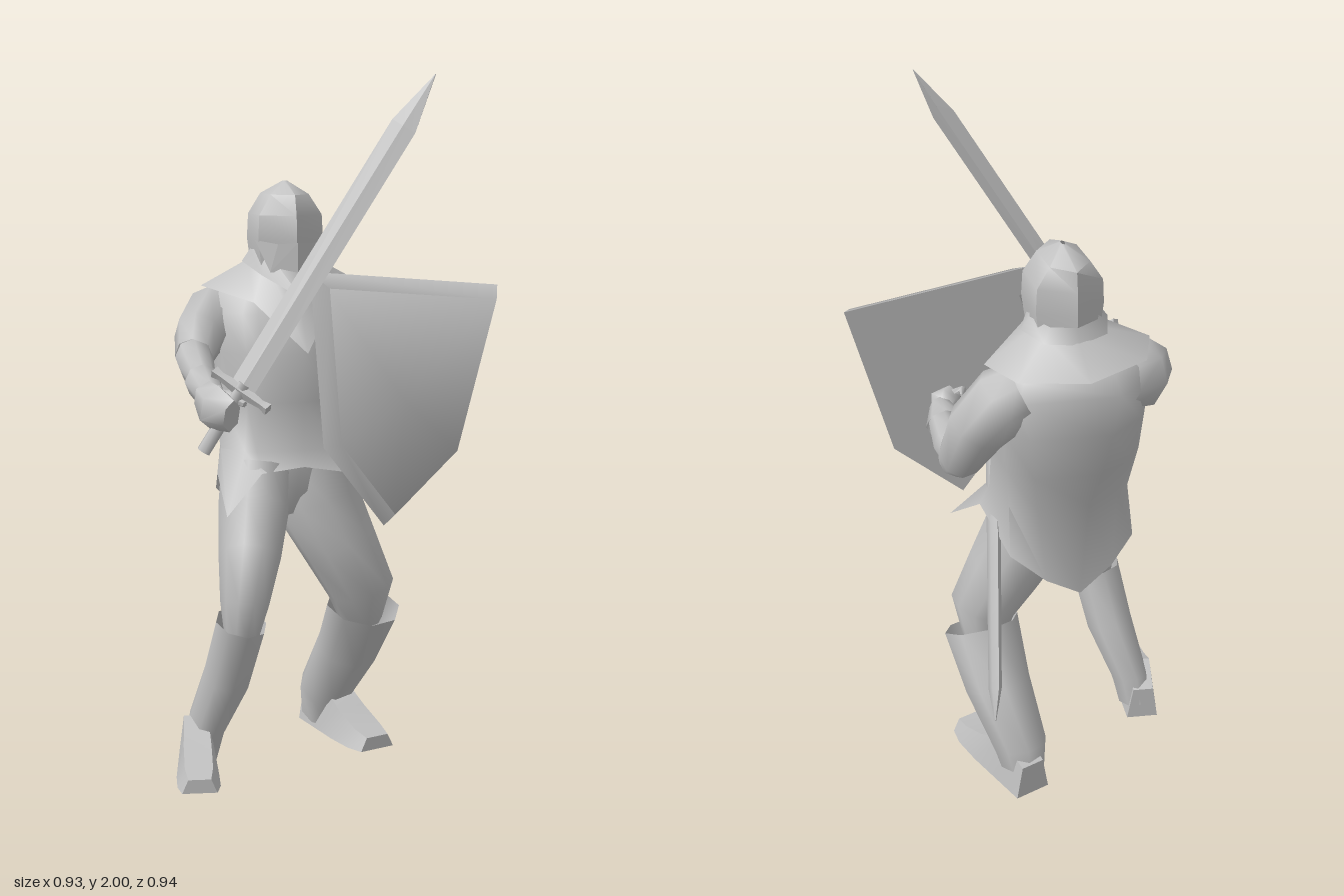
import * as THREE from 'three';
import { toCreasedNormals } from 'three/addons/utils/BufferGeometryUtils.js';

const V = (x, y, z) => new THREE.Vector3(x, y, z);
const FRONT = V(0, 0, 1), UP = V(0, 1, 0);

const grey = new THREE.MeshStandardMaterial({ color: 0xc0c0c0, side: THREE.DoubleSide });
grey.name = 'plain grey';

// Skins rows of points (each row counter-clockwise about the row direction).
function skin(rows, caps = true, crease = 1.2) {
  const n = rows[0].length, pos = [];
  const tri = (...ps) => ps.forEach((p) => pos.push(p.x, p.y, p.z));
  for (let r = 0; r + 1 < rows.length; r++) {
    for (let i = 0; i < n; i++) {
      const j = (i + 1) % n, a = rows[r], b = rows[r + 1];
      tri(a[i], a[j], b[i]);
      tri(a[j], b[j], b[i]);
    }
  }
  if (caps) {
    const cap = (row, flip) => {
      const c = V(0, 0, 0);
      row.forEach((p) => c.addScaledVector(p, 1 / n));
      row.forEach((p, i) => {
        const q = row[(i + 1) % n];
        if (flip) tri(c, q, p); else tri(c, p, q);
      });
    };
    cap(rows[0], true);
    cap(rows[rows.length - 1], false);
  }
  const g = new THREE.BufferGeometry();
  g.setAttribute('position', new THREE.Float32BufferAttribute(pos, 3));
  return toCreasedNormals(g, crease);
}

// Sections are [x, y, z, radius across, radius along ref]; axis fixes the section plane.
function loft(sections, { sides = 8, ref = FRONT, axis = null, caps = false, crease = 1.2 } = {}) {
  const c = sections.map((s) => V(s[0], s[1], s[2]));
  const rows = sections.map((s, k) => {
    const t = axis ? axis.clone()
      : c[Math.min(k + 1, c.length - 1)].clone().sub(c[Math.max(k - 1, 0)]).normalize();
    const u = ref.clone().addScaledVector(t, -ref.dot(t)).normalize();
    const v = t.clone().cross(u);
    return Array.from({ length: sides }, (_, i) => {
      const a = (i / sides) * Math.PI * 2;
      return c[k].clone().addScaledVector(u, Math.cos(a) * s[4]).addScaledVector(v, Math.sin(a) * s[3]);
    });
  });
  return skin(rows, caps, crease);
}

// Ellipse points matching the bearings of another ring, seen from (cx, cz).
const follow = (ring, cx, y, cz, rx, rz) => ring.map((p) => {
  const a = Math.atan2(p.x - cx, p.z - cz);
  return V(cx + rx * Math.sin(a), y, cz + rz * Math.cos(a));
});

export function createModel() {
  const model = new THREE.Group();
  const add = (name, geometry) => {
    const m = new THREE.Mesh(geometry, grey);
    m.name = name;
    model.add(m);
  };

  // Tunic: pointed hem running up into waist, chest and shoulders
  const hem = [
    [-0.06, 0.895, 0.05], [0.06, 0.875, 0.06], [0.2, 0.75, 0.1], [0.155, 0.87, -0.05],
    [0.12, 0.79, -0.22], [0.02, 0.7, -0.25], [-0.09, 0.62, -0.235], [-0.18, 0.71, -0.25],
    [-0.25, 0.79, -0.23], [-0.29, 0.87, -0.06], [-0.31, 0.78, 0.12], [-0.19, 0.885, 0.06],
  ].map((p) => V(...p));
  add('tunic', skin([hem, ...[
    [-0.07, 0.94, -0.11, 0.21, 0.148], [-0.07, 1.08, -0.145, 0.213, 0.178],
    [-0.067, 1.22, -0.16, 0.222, 0.195], [-0.065, 1.33, -0.18, 0.235, 0.168],
    [-0.065, 1.385, -0.18, 0.205, 0.14], [-0.065, 1.43, -0.165, 0.1, 0.1],
  ].map((s) => follow(hem, ...s))], false));
  add('pelvis', loft([
    [-0.1, 0.75, -0.075, 0.05, 0.09], [-0.08, 0.82, -0.08, 0.15, 0.12], [-0.07, 0.9, -0.09, 0.18, 0.13],
  ], { sides: 10, axis: UP }));

  // Mantle and collar, each from a hem ring up to a neck ring
  const cape = (name, half, ...neck) => {
    const mid = half.slice(1, -1);
    const left = mid.map(([x, y, z]) => [-x, y, z]);
    const ring = [half[0], ...left, half[half.length - 1], ...mid.reverse()]
      .map(([x, y, z]) => V(x - 0.065, y, z));
    add(name, skin([ring, follow(ring, -0.065, ...neck)], false));
  };
  cape('mantle', [
    [0, 1.23, 0.1], [-0.12, 1.365, -0.035], [-0.24, 1.405, -0.17], [-0.185, 1.4, -0.285], [0, 1.395, -0.345],
  ], 1.48, -0.14, 0.1, 0.105);
  cape('collar', [
    [0, 1.38, 0.045], [-0.09, 1.44, -0.05], [-0.125, 1.475, -0.14], [-0.09, 1.47, -0.23], [0, 1.465, -0.258],
  ], 1.51, -0.135, 0.1, 0.108);

  // Helmet
  add('helmet', loft([
    [-0.065, 1.46, -0.125, 0.1, 0.115], [-0.065, 1.54, -0.122, 0.112, 0.12],
    [-0.065, 1.61, -0.122, 0.108, 0.117], [-0.065, 1.668, -0.125, 0.066, 0.105], [-0.065, 1.705, -0.12, 0.006, 0.012],
  ], { sides: 6, axis: UP, crease: 0.9 }));
  // Visor cheek plates
  [-1, 1].forEach((s) => {
    const at = (x, y, z) => V(-0.065 + s * x, y, z);
    const p = [at(0, 1.535, 0.008), at(0, 1.445, 0.006), at(0.07, 1.45, -0.035), at(0.105, 1.54, -0.07), at(0.05, 1.53, -0.023)];
    const g = new THREE.BufferGeometry().setFromPoints(
      [[0, 1, 2], [0, 2, 4], [4, 2, 3]].flatMap((f) => (s > 0 ? f : [...f].reverse()).map((i) => p[i])));
    g.computeVertexNormals();
    add(s > 0 ? 'leftVisorPlate' : 'rightVisorPlate', g);
  });

  // Legs: thigh, boot shaft, foot
  add('rightThigh', loft([
    [-0.165, 0.88, -0.07, 0.105, 0.125], [-0.188, 0.77, -0.035, 0.1, 0.135], [-0.22, 0.64, 0.03, 0.088, 0.112],
    [-0.256, 0.52, 0.1, 0.068, 0.09], [-0.26, 0.42, 0.08, 0.05, 0.055],
  ], { sides: 10 }));
  add('leftThigh', loft([
    [0.0, 0.88, -0.09, 0.12, 0.13], [0.015, 0.77, -0.075, 0.13, 0.132], [0.078, 0.64, -0.055, 0.114, 0.122],
    [0.142, 0.5, -0.035, 0.1, 0.105], [0.15, 0.4, -0.06, 0.065, 0.065],
  ], { sides: 10 }));
  add('rightBoot', loft([
    [-0.262, 0.46, 0.085, 0.075, 0.085], [-0.29, 0.28, 0.02, 0.072, 0.083],
    [-0.33, 0.12, -0.06, 0.056, 0.078], [-0.34, 0.03, -0.08, 0.048, 0.068],
  ], { axis: V(-0.1, -0.95, -0.28).normalize() }));
  add('leftBoot', loft([
    [0.157, 0.438, -0.053, 0.115, 0.098], [0.14, 0.28, -0.155, 0.1, 0.095],
    [0.106, 0.12, -0.268, 0.08, 0.09], [0.1, 0.035, -0.285, 0.064, 0.07],
  ], { axis: V(-0.08, -0.88, -0.4).normalize() }));
  // Foot block from heel to toe: [distance, half width, height]
  const foot = (name, heel, toe, wide) => {
    const dir = toe.clone().sub(heel), side = UP.clone().cross(dir).normalize();
    const rows = [[0, 0.048, 0.11], [0.3, 0.055, 0.15], [0.6, 0.062, 0.09], [0.85, 0.062, 0.055], [1, 0.05, 0.04]]
      .map(([k, w, h]) => [[1, 0], [0.65, 1], [-0.65, 1], [-1, 0]].map(([a, b]) =>
        heel.clone().addScaledVector(dir, k).addScaledVector(side, a * w * wide).setY(b ? h : 0)));
    add(name, skin(rows, true, 0.9));
  };
  foot('rightFoot', V(-0.345, 0, -0.145), V(-0.415, 0, 0.185), 1);
  foot('leftFoot', V(0.098, 0, -0.355), V(0.185, 0, 0.0), 1.15);

  // Arms: sleeve, forearm with flared cuff
  add('rightSleeve', loft([
    [-0.2, 1.32, -0.225, 0.088, 0.085], [-0.25, 1.31, -0.21, 0.095, 0.095],
    [-0.33, 1.265, -0.1, 0.073, 0.08], [-0.365, 1.22, -0.02, 0.055, 0.06],
  ], { ref: UP }));
  add('rightForearm', loft([
    [-0.365, 1.22, -0.02, 0.054, 0.056], [-0.375, 1.2, 0.05, 0.05, 0.052], [-0.385, 1.17, 0.16, 0.036, 0.037],
  ], { ref: UP }));
  add('rightCuff', loft([
    [-0.385, 1.175, 0.15, 0.05, 0.05], [-0.39, 1.15, 0.25, 0.04, 0.04],
  ], { ref: UP }));
  add('leftSleeve', loft([
    [0.08, 1.33, -0.215, 0.085, 0.09], [0.13, 1.305, -0.205, 0.1, 0.095],
    [0.2, 1.22, -0.18, 0.09, 0.083], [0.24, 1.1, -0.135, 0.062, 0.067], [0.245, 1.065, -0.1, 0.042, 0.042],
  ]));
  add('leftForearm', loft([
    [0.24, 1.1, -0.13, 0.047, 0.047], [0.235, 1.095, -0.06, 0.054, 0.056], [0.22, 1.09, 0.08, 0.042, 0.038],
  ], { ref: UP }));
  add('leftCuff', loft([
    [0.217, 1.09, 0.055, 0.06, 0.048], [0.2, 1.085, 0.17, 0.032, 0.03],
  ], { ref: UP }));

  // Hands with thumbs
  const hand = { ref: UP, sides: 6, caps: true };
  add('rightHand', loft([
    [-0.395, 1.15, 0.24, 0.04, 0.045], [-0.39, 1.125, 0.3, 0.048, 0.065], [-0.36, 1.11, 0.36, 0.03, 0.045],
  ], hand));
  add('rightThumb', loft([
    [-0.39, 1.15, 0.25, 0.018, 0.02], [-0.345, 1.15, 0.28, 0.016, 0.018], [-0.315, 1.135, 0.33, 0.008, 0.008],
  ], hand));
  add('leftHand', loft([
    [0.2, 1.085, 0.16, 0.035, 0.03], [0.185, 1.085, 0.185, 0.045, 0.045], [0.16, 1.085, 0.208, 0.04, 0.04],
  ], hand));
  add('leftThumb', loft([
    [0.17, 1.1, 0.19, 0.02, 0.018], [0.125, 1.11, 0.188, 0.016, 0.016], [0.142, 1.12, 0.15, 0.004, 0.004],
  ], hand));

  // Sword: blade, guard, grip
  const base = V(-0.32, 1.17, 0.31), tip = V(0.165, 2.0, 0.47);
  const edge = V(0.6, -0.47, 0.64).normalize();
  const along = (k, a, b) => [...base.clone().lerp(tip, k).toArray(), a, b];
  add('swordBlade', loft([
    along(0, 0.008, 0.038), along(0.84, 0.007, 0.038), along(1, 0.001, 0.001),
  ], { sides: 4, ref: edge, crease: 0.1, caps: true }));
  add('swordGrip', loft([
    along(0.02, 0.018, 0.02), along(-0.2, 0.018, 0.02),
  ], { sides: 6, ref: edge, caps: true }));
  const across = (d, r) => [...base.clone().addScaledVector(edge, d).toArray(), r, r];
  add('swordGuard', loft([
    across(-0.095, 0.017), across(-0.07, 0.012), across(0, 0.02), across(0.07, 0.012), across(0.095, 0.017),
  ], { sides: 4, ref: tip.clone().sub(base).normalize(), crease: 0.3, caps: true }));

  // Scabbard on the left hip
  const mouth = V(0.085, 0.985, 0.035), chape = V(0.25, 0.415, -0.465);
  const sheath = (k, a, b) => [...mouth.clone().lerp(chape, k).toArray(), a, b];
  add('scabbard', loft([
    sheath(0, 0.018, 0.05), sheath(0.88, 0.016, 0.048), sheath(1, 0.002, 0.003),
  ], { sides: 6, ref: V(0, 0.66, -0.75).normalize(), caps: true }));

  // Shield with sloping rim
  const outline = [[0.462, 1.42], [-0.095, 1.472], [-0.055, 0.98], [0.125, 0.745], [0.335, 0.94]];
  const slice = (k, z) => outline.map(([x, y]) => V(0.18 + (x - 0.18) * k, 1.14 + (y - 1.14) * k, z));
  add('shield', skin([slice(1, 0.21), slice(0.88, 0.285)]));

  return model;
}
